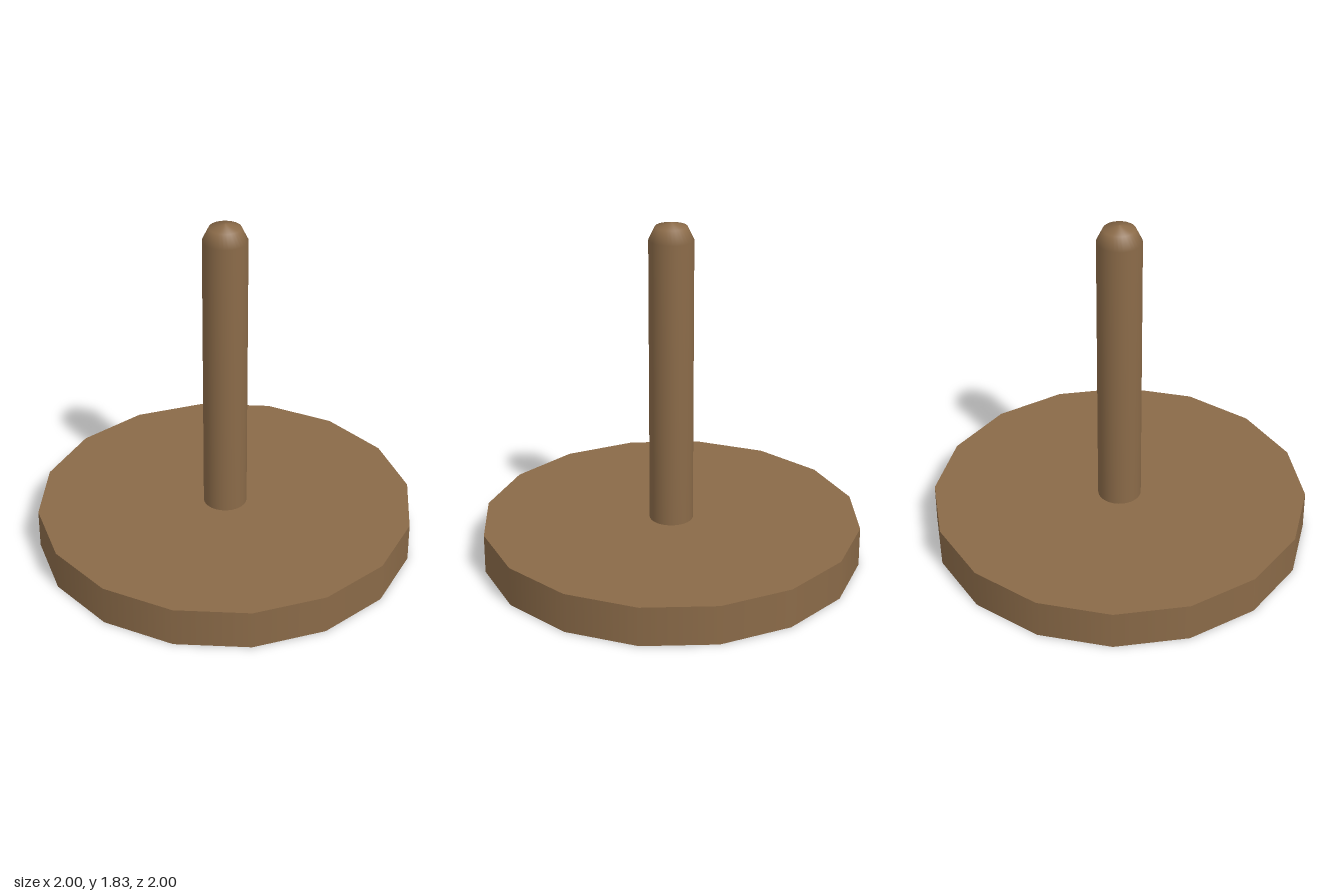
import * as THREE from 'three';

export function createModel() {
  const group = new THREE.Group();
  const wood = new THREE.MeshStandardMaterial({ color: 0x8a6a48 });
  const baseHeight = 0.21, pegRadius = 0.115, shoulder = 1.735, domeHeight = 0.09;

  // Sixteen-sided disc base
  const base = new THREE.Mesh(new THREE.CylinderGeometry(1, 1, baseHeight, 16), wood);
  base.name = 'base';
  base.position.y = baseHeight / 2;
  group.add(base);

  // Upright peg with a shallow two-step dome
  const profile = [
    [pegRadius, baseHeight],
    [pegRadius, shoulder],
    [pegRadius * 0.71, shoulder + domeHeight * 0.76],
    [0, shoulder + domeHeight],
  ].map(([r, y]) => new THREE.Vector2(r, y));
  const peg = new THREE.Mesh(new THREE.LatheGeometry(profile, 32), wood);
  peg.name = 'peg';
  group.add(peg);

  return group;
}
